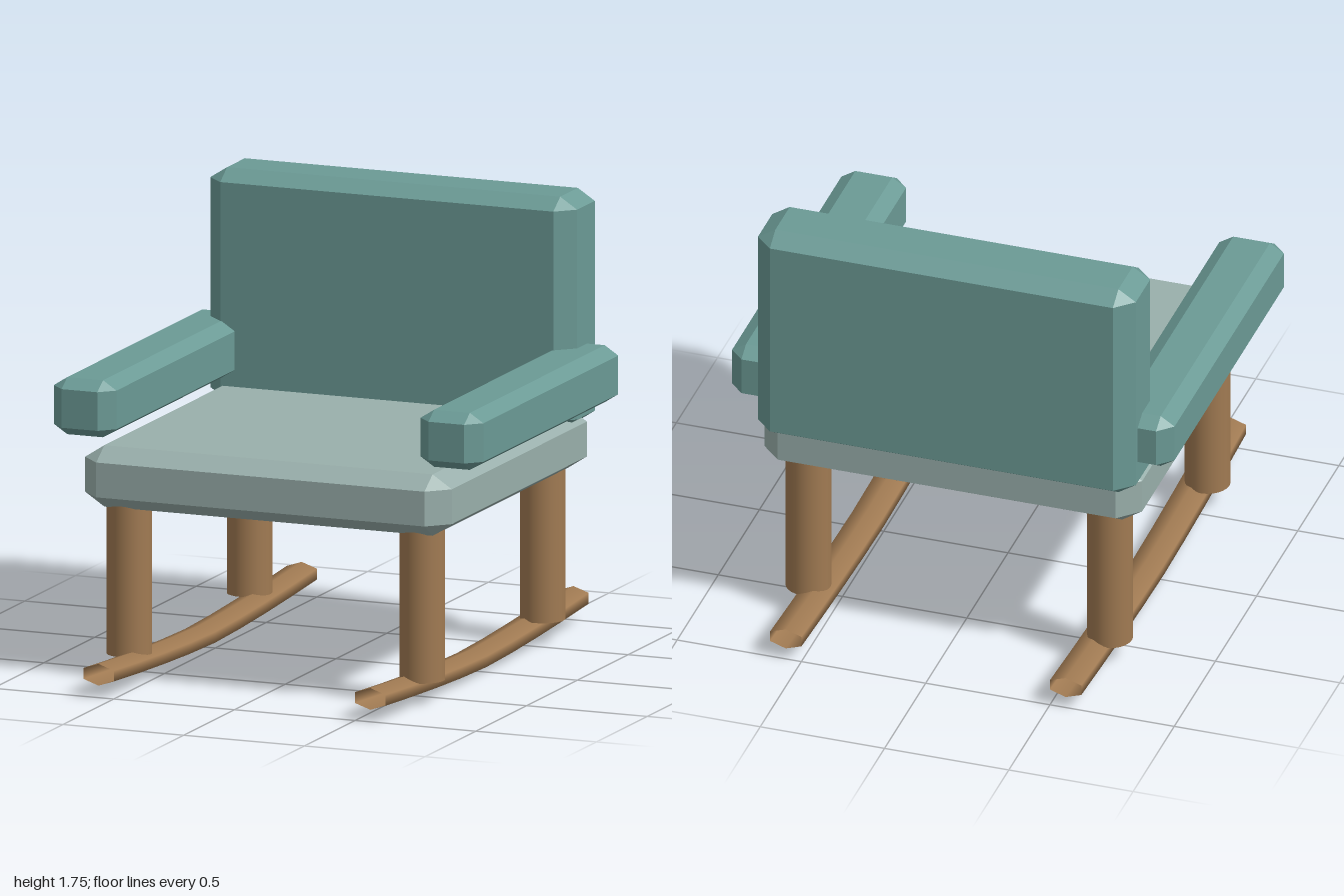
import * as THREE from 'three';
import { ConvexGeometry } from 'three/addons/geometries/ConvexGeometry.js';

const teal = new THREE.MeshStandardMaterial({ color: 0x6b9a95 });
teal.name = 'tealUpholstery';
const grey = new THREE.MeshStandardMaterial({ color: 0x99afab });
grey.name = 'greySeatFabric';
const wood = new THREE.MeshStandardMaterial({ color: 0xa07a52, side: THREE.DoubleSide });
wood.name = 'wood';

// Box with chamfered edges; min, max and bevel are [x, y, z]
function cushion(name, material, min, max, bevel) {
  const points = [];
  for (const sx of [0, 1]) for (const sy of [0, 1]) for (const sz of [0, 1]) {
    const side = [sx, sy, sz];
    // Three points per corner, one on each of the meeting faces
    for (let face = 0; face < 3; face++) {
      const p = side.map((s, i) => {
        const inset = i === face ? 0 : bevel[i];
        return s ? max[i] - inset : min[i] + inset;
      });
      points.push(new THREE.Vector3(...p));
    }
  }
  const mesh = new THREE.Mesh(new ConvexGeometry(points), material);
  mesh.name = name;
  return mesh;
}

// Open six-sided rail along z, bent upwards towards both ends
function rockerGeometry() {
  const g = new THREE.CylinderGeometry(1, 1, 2, 6, 8, true);
  g.rotateX(Math.PI / 2);
  g.scale(0.0728, 0.0425, 1);
  const pos = g.attributes.position;
  for (let i = 0; i < pos.count; i++) {
    const lift = 0.0425 + 0.047 * Math.pow(Math.abs(pos.getZ(i)), 1.5);
    pos.setY(i, pos.getY(i) + lift);
  }
  return g;
}

export function createModel() {
  const chair = new THREE.Group();
  chair.name = 'rockingChair';

  chair.add(cushion('seat', grey, [-0.76, 0.67, -0.745], [0.76, 0.91, 0.745], [0.08, 0.052, 0.08]));
  chair.add(cushion('backrest', teal, [-0.76, 0.84, -0.81], [0.76, 1.75, -0.5], [0.07, 0.045, 0.068]));

  const legGeometry = new THREE.CylinderGeometry(0.088, 0.088, 0.64, 24);
  const railGeometry = rockerGeometry();

  for (const [side, s] of [['left', 1], ['right', -1]]) {
    // Armrest
    const xs = [s * 0.63, s * 0.89].sort((a, b) => a - b);
    chair.add(cushion(side + 'Armrest', teal, [xs[0], 0.94, -0.72], [xs[1], 1.163, 0.72], [0.056, 0.036, 0.056]));

    // Legs, sunk a little into the seat
    for (const [end, e] of [['Front', 1], ['Back', -1]]) {
      const leg = new THREE.Mesh(legGeometry, wood);
      leg.name = side + end + 'Leg';
      leg.position.set(s * 0.607, 0.41, e * 0.592);
      chair.add(leg);
    }

    // Rocker
    const rocker = new THREE.Mesh(railGeometry, wood);
    rocker.name = side + 'Rocker';
    rocker.position.x = s * 0.563;
    chair.add(rocker);
  }
  return chair;
}
